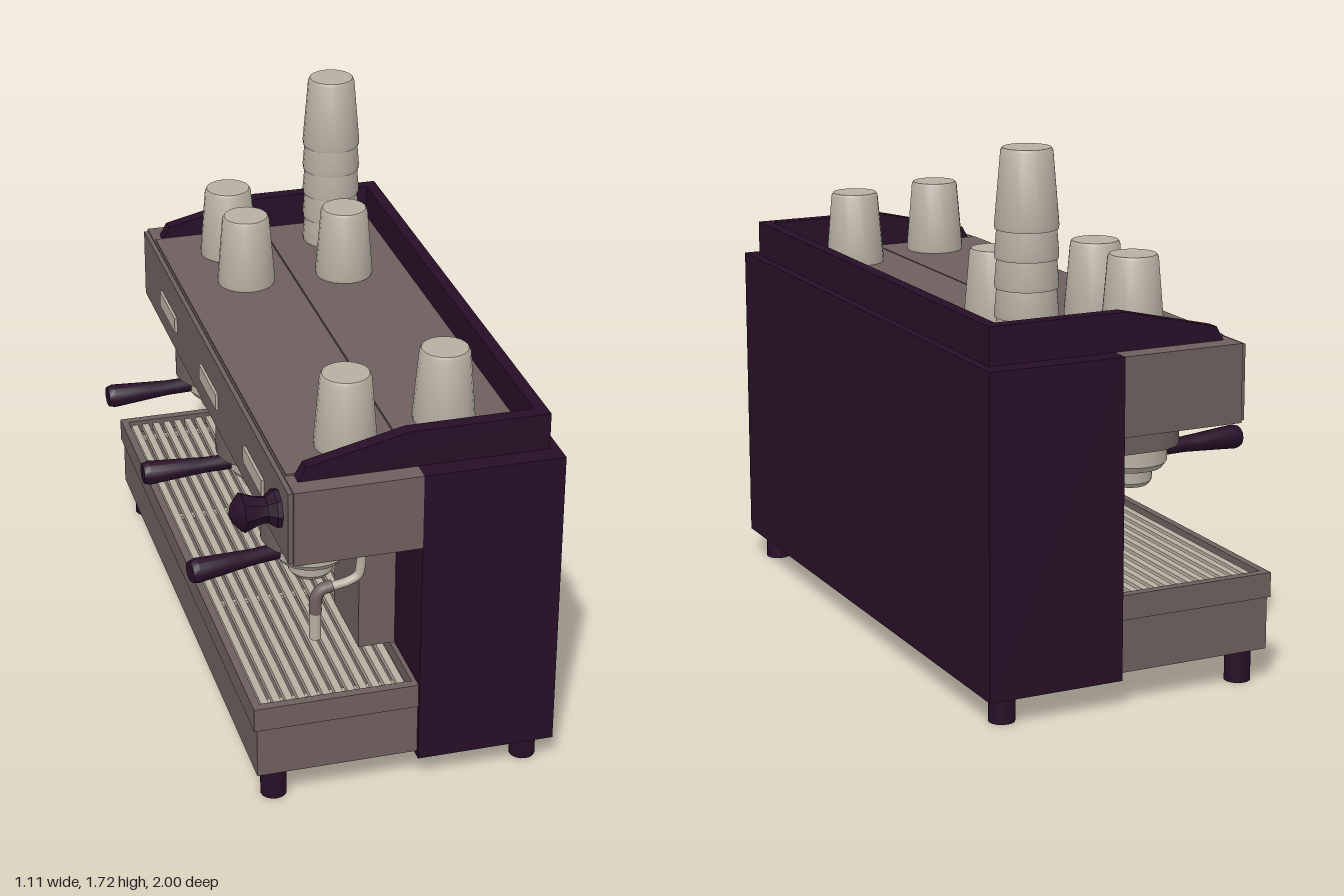
import * as THREE from 'three';
import { toCreasedNormals } from 'three/addons/utils/BufferGeometryUtils.js';

const mat = (name, color) => {
  const m = new THREE.MeshStandardMaterial({ color });
  m.name = name;
  return m;
};

export function createModel() {
  const brown = mat('warm grey brown', 0x6e5f5d);
  const dark = mat('dark plum', 0x270f27);
  const beige = mat('pale beige', 0xb8afa2);
  const model = new THREE.Group();
  model.name = 'espressoMachine';

  const add = (name, geometry, material, parent = model) => {
    const mesh = new THREE.Mesh(geometry, material);
    mesh.name = name;
    parent.add(mesh);
    return mesh;
  };
  // Box from its lower and upper limits
  const box = (name, material, x0, x1, y0, y1, z0, z1, parent) => {
    const g = new THREE.BoxGeometry(x1 - x0, y1 - y0, z1 - z0);
    g.translate((x0 + x1) / 2, (y0 + y1) / 2, (z0 + z1) / 2);
    return add(name, g, material, parent);
  };
  // Turned shape from [radius, height] points, bottom to top
  const lathe = (points, sides) =>
    toCreasedNormals(new THREE.LatheGeometry(points.map(([r, y]) => new THREE.Vector2(r, y)), sides), 0.6);
  const shape = (points) => new THREE.Shape(points.map(([x, y]) => new THREE.Vector2(x, y)));

  // Body, hood and top plates
  box('rearBody', dark, 0.1, 0.55, 0.09, 1.11, -1, 1);
  box('hood', brown, -0.305, 0.1, 0.86, 1.11, -1, 1);
  box('hoodFrontPanel', brown, -0.32, -0.305, 0.865, 1.105, -0.99, 0.99);
  box('frontTopPlate', brown, -0.3, 0.087, 1.11, 1.116, -0.89, 0.89);
  box('rearTopPlate', brown, 0.092, 0.48, 1.11, 1.116, -0.89, 0.89);

  // Cup rail: two sloping sides and a back wall
  const railProfile = shape([[-0.275, 1.11], [0.52, 1.11], [0.52, 1.23], [0.07, 1.23], [-0.25, 1.155]]);
  for (const z of [-0.935, 0.89]) {
    const g = new THREE.ExtrudeGeometry(railProfile, { depth: 0.045, bevelEnabled: false });
    g.translate(0, 0, z);
    add('railSide', g, dark);
  }
  box('railBack', dark, 0.48, 0.52, 1.11, 1.23, -0.89, 0.89);

  // Drip tray with raised rim and slatted grate
  box('trayBase', brown, -0.42, 0.1, 0.11, 0.28, -0.985, 0.985);
  const rim = shape([[-0.43, -0.99], [0.1, -0.99], [0.1, 0.99], [-0.43, 0.99]]);
  rim.holes.push(new THREE.Path([[-0.405, -0.96], [-0.405, 0.96], [0.085, 0.96], [0.085, -0.96]]
    .map(([x, y]) => new THREE.Vector2(x, y))));
  const rimGeometry = new THREE.ExtrudeGeometry(rim, { depth: 0.08, bevelEnabled: false });
  rimGeometry.rotateX(-Math.PI / 2).translate(0, 0.28, 0);
  add('trayRim', rimGeometry, brown);
  box('trayFloor', brown, -0.41, 0.09, 0.28, 0.315, -0.97, 0.97);
  for (let i = 0; i < 12; i++) {
    const x = -0.383 + i * 0.04;
    box('grateSlat', beige, x - 0.012, x + 0.012, 0.325, 0.345, -0.96, 0.96);
  }
  for (const z of [-0.9, -0.3, 0.3, 0.9]) box('grateSupport', beige, -0.4, 0.08, 0.315, 0.326, z - 0.01, z + 0.01);

  // Feet
  for (const x of [-0.353, 0.475]) for (const z of [-0.925, 0.925]) {
    add('foot', new THREE.CylinderGeometry(0.042, 0.042, 0.112, 16), dark).position.set(x, 0.056, z);
  }

  // Three brew groups with a column, head, filter holder and handle
  const headShape = new THREE.Shape();
  headShape.moveTo(0.1, -0.14);
  headShape.lineTo(0.1, 0.14);
  headShape.lineTo(-0.16, 0.14);
  headShape.absarc(-0.16, 0, 0.14, Math.PI / 2, Math.PI * 1.5, false);
  const headGeometry = toCreasedNormals(
    new THREE.ExtrudeGeometry(headShape, { depth: 0.14, bevelEnabled: false, curveSegments: 16 })
      .rotateX(-Math.PI / 2).translate(0, 0.72, 0), 0.6);
  const holder = lathe([[0, 0.585], [0.06, 0.585], [0.072, 0.6], [0.075, 0.645], [0.105, 0.645],
    [0.12, 0.665], [0.12, 0.72], [0, 0.72]], 24);
  const handleGeometry = lathe([[0, 0.1], [0.026, 0.1], [0.026, 0.2], [0.03, 0.26],
    [0.04, 0.395], [0.034, 0.415], [0, 0.415]], 12).rotateZ(Math.PI / 2);
  [[-0.59, 0.06], [0, 0.02], [0.59, 0.18]].forEach(([z, turn]) => {
    const group = new THREE.Group();
    group.name = 'brewGroup';
    group.position.z = z;
    model.add(group);
    box('column', brown, -0.02, 0.1, 0.36, 0.86, -0.14, 0.14, group);
    add('groupHead', headGeometry, brown, group);
    add('filterHolder', holder, beige, group).position.x = -0.14;
    const handle = add('handle', handleGeometry, dark, group);
    handle.position.set(-0.14, 0.685, 0);
    handle.rotation.y = turn;
    box('frontBadge', beige, -0.329, -0.32, 0.945, 1.0, -0.115, 0.115, group);
  });

  // Steam knob
  const knob = add('steamKnob', lathe([[0, 0], [0.062, 0], [0.062, 0.015], [0.042, 0.04],
    [0.045, 0.065], [0.064, 0.115], [0.03, 0.145], [0, 0.155]], 8), dark);
  knob.rotation.z = Math.PI / 2;
  knob.position.set(-0.32, 0.998, 0.877);

  // Steam wand: bent pipe, darker elbow grip and nozzle
  const tube = (points, radius) => new THREE.TubeGeometry(
    new THREE.CatmullRomCurve3(points.map(([x, y]) => new THREE.Vector3(x, y, 0.88)), false, 'centripetal'), 32, radius, 10);
  add('steamPipe', tube([[-0.06, 0.87], [-0.06, 0.76], [-0.068, 0.725], [-0.1, 0.707], [-0.165, 0.695]], 0.015), beige);
  add('steamElbow', tube([[-0.15, 0.7], [-0.185, 0.69], [-0.202, 0.665], [-0.205, 0.61]], 0.02), brown);
  add('steamNozzle', new THREE.CylinderGeometry(0.019, 0.019, 0.1, 12), beige).position.set(-0.205, 0.57, 0.88);

  // Upturned cups, one place holding a stack of five
  const cup = lathe([[0, 0], [0.097, 0], [0.099, 0.012], [0.08, 0.235], [0.074, 0.245], [0, 0.245]], 20);
  [[-0.075, -0.72, 1], [-0.075, -0.47, 1], [0.267, -0.45, 1], [0.267, 0.665, 1],
    [-0.075, 0.75, 1], [0.303, -0.745, 5]].forEach(([x, z, count]) => {
    for (let i = 0; i < count; i++) add('cup', cup, beige).position.set(x, 1.114 + i * 0.09, z);
  });

  return model;
}
